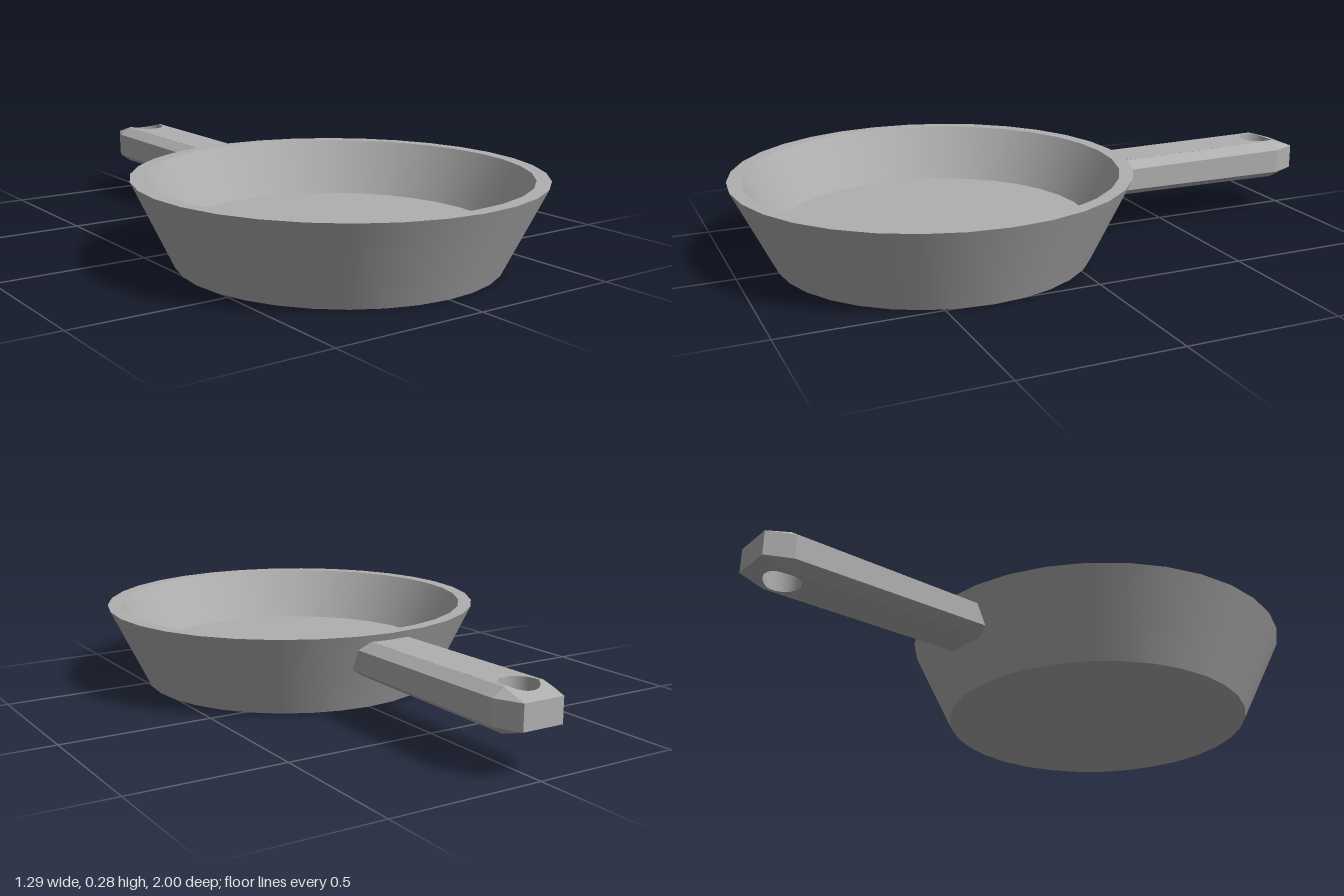
import * as THREE from 'three';

const PAN_Z = 0.353, MID_Y = 0.19;
const START = 0.235, FOLD = 0.915, TIP = 1;
const HOLE_S = 0.895, HOLE_R = 0.058;
const FLAT_X = 0.07, SIDE_X = 0.108;

// Half height of the handle at distance s behind the centre
function halfHeight(s) {
  if (s <= FOLD) return THREE.MathUtils.mapLinear(s, START, FOLD, 0.06, 0.066);
  return THREE.MathUtils.mapLinear(s, FOLD, TIP, 0.066, 0.04);
}

// One smooth band or disc turned around y; the profile's right side faces out
function band(points, segments) {
  return new THREE.LatheGeometry(points.map(([r, y]) => new THREE.Vector2(r, y)), segments);
}

// The handle starts inside the sloping pan wall
const startZ = (y) => -0.2 - (y - 0.13) * 0.5;

// Eight-sided cross-section, counter-clockwise seen from +z
function section(sideX, h, hSide, zAt) {
  const quarter = [[FLAT_X, -h], [sideX, -hSide], [sideX, hSide], [FLAT_X, h]];
  const all = [...quarter, ...quarter.map(([x, y]) => [-x, -y])];
  return all.map(([x, y]) => new THREE.Vector3(x, MID_Y + y, zAt(MID_Y + y)));
}

// Faceted sides and end of the handle; top and bottom are separate plates
function handleSides() {
  const sections = [
    section(SIDE_X, 0.06, 0.035, startZ),
    section(SIDE_X, 0.066, 0.04, () => -FOLD),
    section(FLAT_X, 0.04, 0.04, () => -TIP),
  ];
  const pts = [];
  for (let k = 0; k < 2; k++) {
    const p = sections[k], q = sections[k + 1];
    for (const i of [0, 1, 2, 4, 5, 6]) {
      pts.push(q[i], q[i + 1], p[i + 1], q[i], p[i + 1], p[i]);
    }
  }
  const e = sections[2];
  pts.push(e[0], e[7], e[4], e[0], e[4], e[3]);
  const geometry = new THREE.BufferGeometry().setFromPoints(pts);
  geometry.computeVertexNormals();
  return geometry;
}

// Flat outline bent to the handle's upper (+1) or lower (-1) surface
function plate(shape, sign) {
  const geometry = new THREE.ShapeGeometry(shape, 24);
  const pos = geometry.attributes.position;
  for (let i = 0; i < pos.count; i++) {
    const s = pos.getY(i);
    pos.setXYZ(i, pos.getX(i), MID_Y + sign * halfHeight(s), -s);
  }
  if (sign < 0) geometry.setIndex(Array.from(geometry.index.array).reverse());
  geometry.computeVertexNormals();
  return geometry;
}

// Long part of the plate, notched by the hole
function longShape(s0) {
  const a = Math.asin((FOLD - HOLE_S) / HOLE_R);
  const shape = new THREE.Shape();
  shape.moveTo(-FLAT_X, s0);
  shape.lineTo(FLAT_X, s0);
  shape.lineTo(FLAT_X, FOLD);
  shape.absarc(0, HOLE_S, HOLE_R, a, -Math.PI - a, true);
  shape.lineTo(-FLAT_X, FOLD);
  return shape;
}

// Sloping tip part of the plate, with the rest of the hole
function tipShape() {
  const a = Math.asin((FOLD - HOLE_S) / HOLE_R);
  const shape = new THREE.Shape();
  shape.moveTo(FLAT_X, FOLD);
  shape.lineTo(FLAT_X, TIP);
  shape.lineTo(-FLAT_X, TIP);
  shape.lineTo(-FLAT_X, FOLD);
  shape.absarc(0, HOLE_S, HOLE_R, Math.PI - a, a, true);
  return shape;
}

// Wall of the hanging hole, facing inward
function holeWall() {
  const geometry = band([[HOLE_R, 1], [HOLE_R, -1]], 32);
  const pos = geometry.attributes.position;
  for (let i = 0; i < pos.count; i++) {
    const z = pos.getZ(i) - HOLE_S;
    pos.setZ(i, z);
    pos.setY(i, MID_Y + pos.getY(i) * halfHeight(-z));
  }
  return geometry;
}

export function createModel() {
  const model = new THREE.Group();
  model.name = 'fryingPan';
  const metal = new THREE.MeshStandardMaterial({ color: 0xb0b0b0 });
  metal.name = 'greyMetal';

  const add = (parent, name, geometry) => {
    const mesh = new THREE.Mesh(geometry, metal);
    mesh.name = name;
    parent.add(mesh);
  };

  // Pan: base, outer wall, rim, inner wall and cooking floor
  const pan = new THREE.Group();
  pan.name = 'pan';
  pan.position.z = PAN_Z;
  const profile = [[0, 0], [0.515, 0], [0.647, 0.275], [0.602, 0.275], [0.513, 0.1], [0, 0.1]];
  ['base', 'outerWall', 'rim', 'innerWall', 'cookingFloor'].forEach((name, i) => {
    add(pan, name, band([profile[i], profile[i + 1]], 32));
  });

  // Handle with a hanging hole
  const handle = new THREE.Group();
  handle.name = 'handle';
  add(handle, 'handleSides', handleSides());
  for (const [side, sign] of [['Top', 1], ['Bottom', -1]]) {
    add(handle, `handle${side}`, plate(longShape(-startZ(MID_Y + sign * 0.06)), sign));
    add(handle, `tip${side}`, plate(tipShape(), sign));
  }
  add(handle, 'hangingHole', holeWall());

  model.add(pan, handle);
  return model;
}
